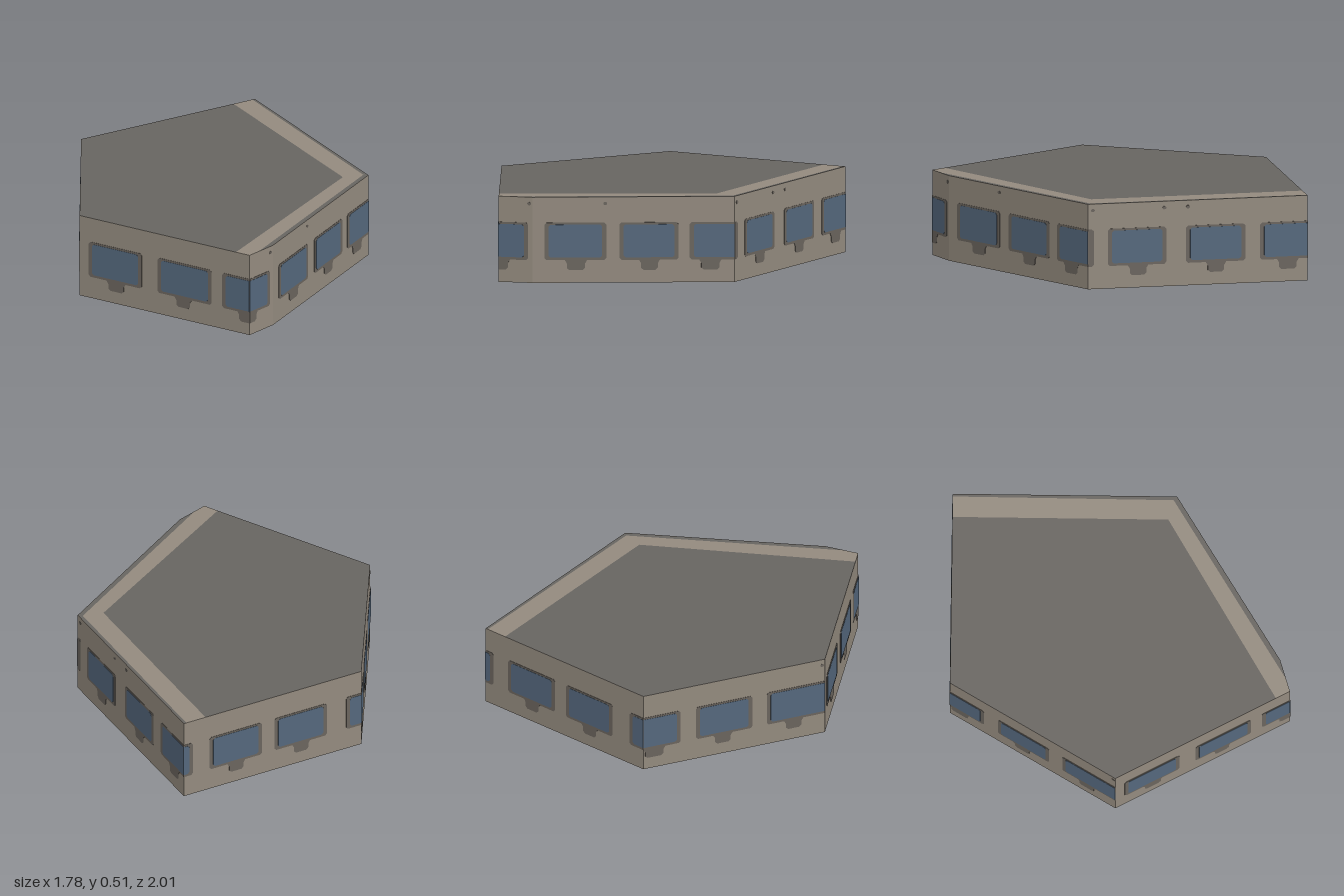
import * as THREE from 'three';

const HEIGHT = 0.51;

// Footprint corners as [x, z]
const A = [-0.30, -1], B = [0.885, -1], C = [0.885, 0.32];
const D = [-0.13, 0.94], E = [-0.325, 1], F = [-0.885, -0.02];

// Each wall: ends, windows [start, end] and sills [start, end] as fractions of its length
const WALLS = [
  { name: 'frontRightWall', from: F, to: E,
    windows: [[0.054, 0.366], [0.459, 0.777], [0.84, 1]], sills: [[0.17, 0.26], [0.57, 0.65], [0.94, 1]], spots: [] },
  { name: 'cornerWall', from: E, to: D,
    windows: [[0, 0.87]], sills: [[0, 0.28]], spots: [0.9] },
  { name: 'frontLeftWall', from: D, to: C,
    windows: [[0.059, 0.365], [0.43, 0.723], [0.778, 1]], sills: [[0.17, 0.26], [0.537, 0.62], [0.835, 0.925]], spots: [0.36] },
  { name: 'leftWall', from: C, to: B,
    windows: [[0, 0.027], [0.09, 0.356], [0.447, 0.716], [0.784, 1]], sills: [[0.19, 0.265], [0.545, 0.62], [0.87, 0.95]], spots: [0.022, 0.348, 0.455] },
  { name: 'backWall', from: B, to: A,
    windows: [[0, 0.05], [0.144, 0.44], [0.51, 0.805], [0.914, 1]], sills: [[0.255, 0.335], [0.62, 0.7]], spots: [] },
  { name: 'backRightWall', from: A, to: F,
    windows: [[0, 0.205], [0.29, 0.6], [0.68, 1]], sills: [[0.01, 0.11], [0.395, 0.48], [0.785, 0.87]], spots: [0.985] },
];

const shapeOf = (points) => new THREE.Shape(points.map(([x, y]) => new THREE.Vector2(x, y)));

// Thin plate straddling the wall plane, so it shows inside and outside
function plate(name, points, thickness, material) {
  const geometry = new THREE.ExtrudeGeometry(shapeOf(points), { depth: thickness, bevelEnabled: false });
  geometry.translate(0, 0, -thickness / 2);
  const mesh = new THREE.Mesh(geometry, material);
  mesh.name = name;
  return mesh;
}

// Rectangle with cut corners; ends lying on a wall corner stay square
function panel(x0, x1, y0, y1, cut, squareStart, squareEnd) {
  const a = squareStart ? 0 : cut, b = squareEnd ? 0 : cut;
  const points = [[x0 + a, y0], [x1 - b, y0]];
  if (b) points.push([x1, y0 + b], [x1, y1 - b]);
  points.push([x1 - b, y1], [x0 + a, y1]);
  if (a) points.push([x0, y1 - a], [x0, y0 + a]);
  return points;
}

function buildWall(wall, mats) {
  const group = new THREE.Group();
  group.name = wall.name;
  const dx = wall.to[0] - wall.from[0], dz = wall.to[1] - wall.from[1];
  const length = Math.hypot(dx, dz);
  group.position.set(wall.from[0], 0, wall.from[1]);
  group.rotation.y = Math.atan2(-dz, dx);

  const face = new THREE.Mesh(
    new THREE.ShapeGeometry(shapeOf([[0, 0], [length, 0], [length, HEIGHT], [0, HEIGHT]])), mats.wall);
  face.name = 'wallFace';
  group.add(face);

  for (const [s, e] of wall.windows) {
    const x0 = s * length, x1 = e * length;
    const atStart = s === 0, atEnd = e === 1;
    group.add(plate('windowFrame', panel(x0, x1, 0.135, 0.358, 0.012, atStart, atEnd), 0.004, mats.trim));
    // Glass runs up to the corner where a window wraps around it
    const g0 = x0 + (atStart ? 0 : 0.024), g1 = x1 - (atEnd ? 0 : 0.024);
    if (g1 - g0 > 0.03) {
      group.add(plate('windowGlass', panel(g0, g1, 0.15, 0.346, 0.012, atStart, atEnd), 0.007, mats.glass));
    }
  }

  // Tapered ornament under each window
  for (const [s, e] of wall.sills) {
    const x0 = s * length, x1 = e * length;
    const l = s === 0 ? 0 : 0.014, r = e === 1 ? 0 : 0.014;
    group.add(plate('windowSill', [
      [x0 + l, 0.075], [x1 - r, 0.075], [x1, 0.088], [x1, 0.115], [x1 + r, 0.138], [x0 - l, 0.138], [x0, 0.115], [x0, 0.088],
    ], 0.004, mats.trim));
  }

  // Small spots below the roof line
  for (const t of wall.spots) {
    const x = t * length;
    group.add(plate('wallSpot', panel(x - 0.011, x + 0.011, 0.462, 0.48, 0.006), 0.004, mats.trim));
  }
  return group;
}

// Flat roof section from [x, z] corners
function roofPiece(name, points, material) {
  const geometry = new THREE.ShapeGeometry(shapeOf(points.map(([x, z]) => [x, -z])));
  geometry.rotateX(-Math.PI / 2);
  geometry.translate(0, HEIGHT, 0);
  const mesh = new THREE.Mesh(geometry, material);
  mesh.name = name;
  return mesh;
}

export function createModel() {
  const material = (name, color) => {
    const m = new THREE.MeshStandardMaterial({ color, side: THREE.DoubleSide });
    m.name = name;
    return m;
  };
  const mats = {
    wall: material('stone', 0x938a7e),
    trim: material('darkStone', 0x6a645d),
    glass: material('blueGlass', 0x54677c),
    roof: material('roofGrey', 0x676460),
  };

  const model = new THREE.Group();
  model.name = 'building';
  for (const wall of WALLS) model.add(buildWall(wall, mats));

  // Roof split along the pale band that follows two sides
  const inner = [[0.74, -1], [0.74, 0.27], [-0.37, 0.918]];
  const outer = [[0.868, -1], [0.862, 0.3], [-0.25, 0.977]];
  model.add(roofPiece('roofField', [A, ...inner, F], mats.roof));
  model.add(roofPiece('roofBand', [...outer, E, ...[...inner].reverse()], mats.wall));
  model.add(roofPiece('roofEdge', [B, C, D, ...[...outer].reverse()], mats.roof));
  return model;
}
